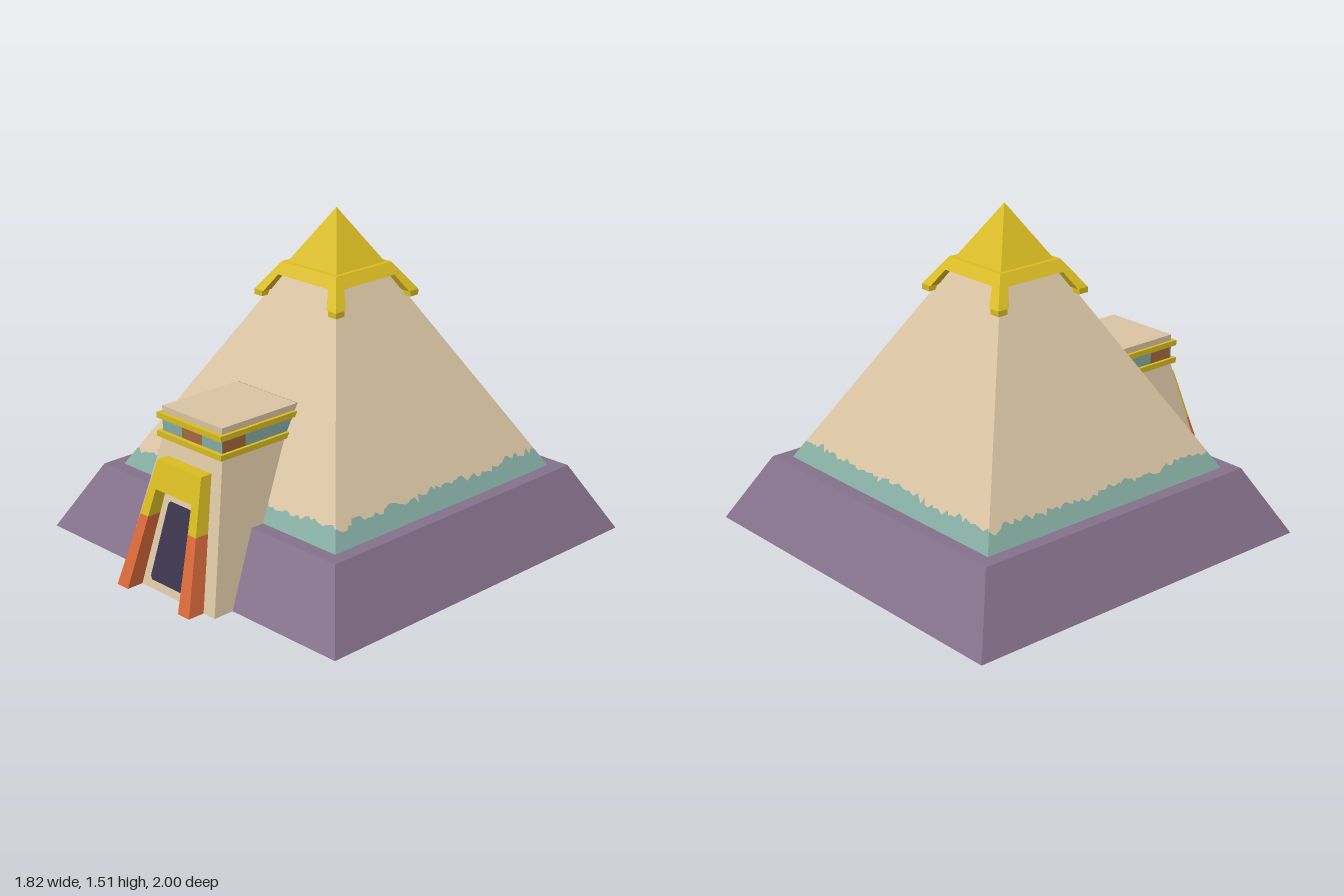
import * as THREE from 'three';

const mat = (name, color) => new THREE.MeshStandardMaterial({ name, color, side: THREE.DoubleSide });

export function createModel() {
  const stone = mat('sandstone', 0xdac5a3), plum = mat('plumStone', 0x85718b);
  const gold = mat('gold', 0xdabc22), teal = mat('teal', 0x85aca2);
  const orange = mat('orange', 0xda6a3a), dark = mat('doorDark', 0x3c354d), brown = mat('brown', 0xa3693f);

  const root = new THREE.Group();
  root.name = 'pyramidTemple';
  root.position.z = -0.09; // pyramid axis is the local origin

  // Slopes: half-widths and depths as functions of height
  const APEX = 1.51, LEDGE = 0.31, WATER = 0.39;
  const pyr = y => 0.567 * (APEX - y);
  const base = y => 0.91 - 0.532 * y;
  const gateX = y => (y < 0.63 ? 0.305 - 0.183 * y : 0.19);
  const gateZ = y => (y < 0.63 ? 1.01 - 0.254 * y : 0.85);
  const archZ = y => 1.09 - 0.295 * y;
  const collar = y => 0.17 + 0.68 * (1.27 - y);

  let seed = 7;
  const rand = () => (seed = (seed * 16807) % 2147483647) / 2147483647;

  const add = (name, geo, material, parent = root) => {
    const m = new THREE.Mesh(geo, material);
    m.name = name;
    parent.add(m);
    return m;
  };
  const toShape = pts => new THREE.Shape(pts.map(p => new THREE.Vector2(p[0], p[1])));
  const remap = (geo, map) => {
    const p = geo.attributes.position;
    for (let i = 0; i < p.count; i++) p.setXYZ(i, ...map(p.getX(i), p.getY(i), p.getZ(i)));
    geo.computeVertexNormals();
    return geo;
  };
  // Flat outline bent onto a sloping plane, with optional hole
  const panel = (pts, map, hole) => {
    const s = toShape(pts);
    if (hole) s.holes.push(toShape(hole));
    return remap(new THREE.ShapeGeometry(s), map);
  };
  // Outline given thickness between two sloping planes
  const slab = (pts, inner, outer) => remap(
    new THREE.ExtrudeGeometry(toShape(pts), { depth: 1, bevelEnabled: false }),
    (x, y, t) => [x, y, t > 0.5 ? outer(y) : inner(y)]);
  const box = (name, w, h, d, x, y, z, material, parent) =>
    add(name, new THREE.BoxGeometry(w, h, d), material, parent).position.set(x, y, z);
  const flip = pts => pts.map(([x, y]) => [-x, y]).reverse();
  const symmetric = half => [...half, ...flip(half)];

  const onPyr = (x, y) => [x, y, pyr(y)];
  const onBase = (x, y) => [x, y, base(y)];
  const onLedge = (x, v) => [x, LEDGE, -v];
  const onGate = (x, y) => [x, y, gateZ(y)];

  // Ragged upper edge of the teal stain
  const ragged = (x0, x1) => {
    const n = Math.round((x1 - x0) * 55), pts = [[x0, WATER]];
    for (let i = 1; i < n; i++) {
      const x = x0 + (x1 - x0) * (i + (rand() - 0.5) * 0.8) / n;
      pts.push([x, WATER - 0.002 + 0.009 * Math.sin(x * 13 + seed % 3) + (rand() - 0.5) * 0.022]);
    }
    return [...pts, [x1, WATER]];
  };

  // Four sides of plinth and pyramid; the front is open behind the gate
  const TOP = 1.25, w = pyr(WATER), g = gateX(WATER), gl = gateX(LEDGE);
  ['front', 'left', 'back', 'right'].forEach((side, i) => {
    const face = new THREE.Group();
    face.name = side + 'Side';
    face.rotation.y = i * Math.PI / 2;
    root.add(face);
    const top = [[pyr(TOP), TOP], [-pyr(TOP), TOP]];
    if (i === 0) {
      const l = ragged(-w, -g), r = ragged(g, w);
      const gateEdge = [[-0.19, 0.63], [-0.19, 0.77], [0.19, 0.77], [0.19, 0.63]];
      add('pyramidFace', panel([...l, ...gateEdge, ...r, ...top], onPyr), stone, face);
      add('stain', panel([[-gl, LEDGE], [-pyr(LEDGE), LEDGE], ...l], onPyr).clone(), teal, face);
      add('stain', panel([[pyr(LEDGE), LEDGE], [gl, LEDGE], ...r], onPyr), teal, face);
      const wall = [[gateX(0), 0], [base(0), 0], [base(LEDGE), LEDGE], [gl, LEDGE]];
      const rim = [[gl, -base(LEDGE)], [base(LEDGE), -base(LEDGE)], [pyr(LEDGE), -pyr(LEDGE)], [gl, -pyr(LEDGE)]];
      for (const f of [p => p, flip]) {
        add('plinthWall', panel(f(wall), onBase), plum, face);
        add('plinthLedge', panel(f(rim), onLedge), plum, face);
      }
    } else {
      const e = ragged(-w, w);
      add('pyramidFace', panel([...e, ...top], onPyr), stone, face);
      add('stain', panel([[pyr(LEDGE), LEDGE], [-pyr(LEDGE), LEDGE], ...e], onPyr), teal, face);
      add('plinthWall', panel(symmetric([[base(0), 0], [base(LEDGE), LEDGE]]), onBase), plum, face);
      add('plinthLedge', panel(symmetric([[base(LEDGE), -base(LEDGE)], [pyr(LEDGE), -pyr(LEDGE)]]), onLedge), plum, face);
    }
    // Golden collar with a clawed foot at each corner
    add('collar', slab(symmetric([[collar(1.145), 1.145], [collar(1.27), 1.27]]).concat(
      [[-0.2, 1.145], [-0.163, 1.22], [0.163, 1.22], [0.2, 1.145]]), y => pyr(y) - 0.01, collar), gold, face);
    box('collarFoot', 0.05, 0.025, 0.05, 0.23, 1.1325, 0.23, gold, face);
  });

  // Golden capstone
  const cap = new THREE.ConeGeometry(0.15 * Math.SQRT2, 0.245, 4, 1, true).toNonIndexed();
  cap.rotateY(Math.PI / 4);
  cap.translate(0, 1.27 + 0.1225, 0);
  cap.computeVertexNormals();
  add('capstone', cap, gold);

  // Gate body: slanted front around the arch, and two side walls
  const gate = new THREE.Group();
  gate.name = 'gate';
  root.add(gate);
  const archOut = y => 0.235 - 0.17 * y, archIn = y => 0.165 - 0.114 * y;
  add('gateFront', panel([[archOut(0), 0], [gateX(0), 0], [0.19, 0.63], [-0.19, 0.63], [-gateX(0), 0],
    [-archOut(0), 0], [-archOut(0.56), 0.56], [archOut(0.56), 0.56]], onGate), stone, gate);
  const profile = [[gateZ(0), 0], [0.85, 0.63], [pyr(0.63), 0.63], [pyr(LEDGE), LEDGE], [base(LEDGE), LEDGE], [base(0), 0]];
  add('gateWallRight', panel(profile, (u, y) => [-gateX(y), y, u]), stone, gate);
  add('gateWallLeft', panel(flip(profile), (u, y) => [gateX(y), y, -u]), stone, gate);

  // Door in its stone surround
  const door = symmetric([[0.11, 0.035], [0.12, 0.05], [0.088, 0.37], [0.078, 0.382]]);
  add('doorSurround', panel(symmetric([[archIn(0), 0], [archIn(0.44), 0.44]]), onGate, door), stone, gate);
  add('door', panel(door, onGate), dark, gate);

  // Arch: orange legs below a golden top
  const S = 0.32;
  const leg = [[archIn(0), 0], [archOut(0), 0], [archOut(S), S], [archIn(S), S]];
  add('archLegLeft', slab(leg, gateZ, archZ), orange, gate);
  add('archLegRight', slab(flip(leg), gateZ, archZ), orange, gate);
  add('archTop', slab([[archIn(S), S], [archOut(S), S], [archOut(0.56), 0.56], [-archOut(0.56), 0.56],
    [-archOut(S), S], [-archIn(S), S], [-archIn(0.44), 0.44], [archIn(0.44), 0.44]], gateZ, archZ), gold, gate);

  // Lintel: stacked courses running back into the pyramid, three panels per side
  const T = 0.015;
  const course = (name, y0, y1, half, front, mats, t = T) => {
    const h = y1 - y0, y = (y0 + y1) / 2, back = pyr(y) - 0.005, n = mats.length;
    const d = (front - back) / n, fw = 2 * half / n;
    for (let i = 0; i < n; i++) {
      box(name, fw, h, t, -half + fw * (i + 0.5), y, front - t / 2, mats[i], gate);
      for (const s of [-1, 1])
        box(name, t, h, d, s * (half - t / 2), y, front - 0.001 - d * (i + 0.5), mats[(i + 1) % n], gate);
    }
  };
  course('lowerBand', 0.633, 0.658, 0.205, 0.87, [gold], 0.025);
  course('friezePanel', 0.658, 0.717, 0.19, 0.85, [teal, brown, teal].map((m, i) => m), 0.008);
  course('upperBand', 0.717, 0.742, 0.205, 0.87, [gold], 0.025);
  course('lintelTop', 0.742, 0.766, 0.19, 0.85, [stone]);
  box('gateRoof', 0.38, 0.006, 0.85 - pyr(0.767), 0, 0.767, (0.85 + pyr(0.767)) / 2, stone, gate);

  return root;
}
